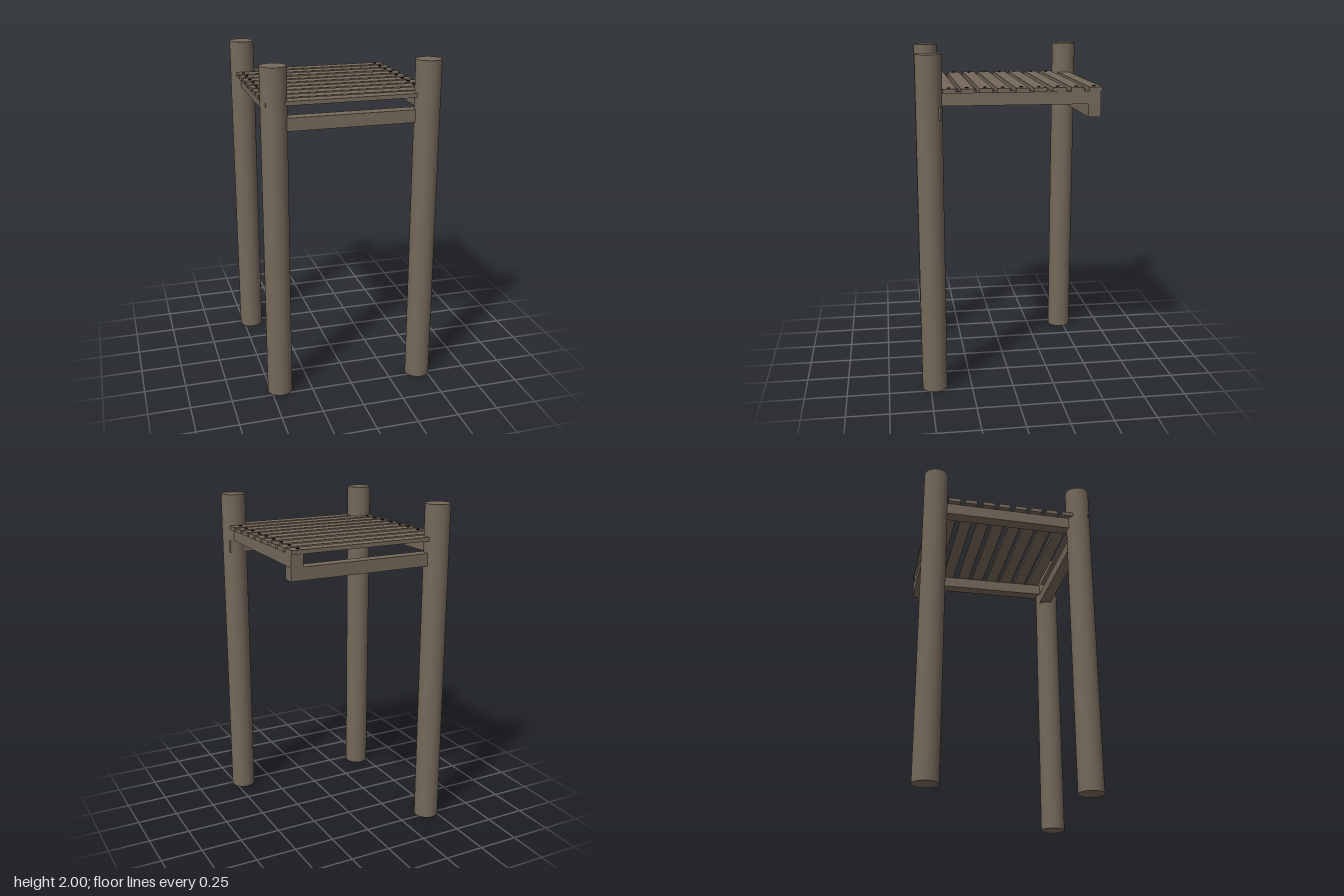
import * as THREE from 'three';

export function createModel() {
  const model = new THREE.Group();
  const wood = new THREE.MeshStandardMaterial({ color: 0x75685a });
  wood.name = 'weatheredWood';
  const iron = new THREE.MeshStandardMaterial({ color: 0x0a0a14 });
  iron.name = 'darkIron';

  // Box given by its low and high limits on each axis
  function board(name, [x0, x1], [y0, y1], [z0, z1], material = wood) {
    const mesh = new THREE.Mesh(new THREE.BoxGeometry(x1 - x0, y1 - y0, z1 - z0), material);
    mesh.position.set((x0 + x1) / 2, (y0 + y1) / 2, (z0 + z1) / 2);
    mesh.name = name;
    model.add(mesh);
    return mesh;
  }

  // Three round posts; the back left corner has none
  const postGeometry = new THREE.CylinderGeometry(0.075, 0.075, 2, 40);
  const posts = [['backRightPost', -0.447, -0.477], ['frontRightPost', -0.443, 0.445], ['frontLeftPost', 0.445, 0.473]];
  for (const [name, x, z] of posts) {
    const post = new THREE.Mesh(postGeometry, wood);
    post.position.set(x, 1, z);
    post.name = name;
    model.add(post);
  }

  // Cross beams under the side rails
  board('frontBeam', [-0.5, 0.5], [1.64, 1.715], [0.41, 0.484]);
  board('backBeam', [-0.5, 0.5], [1.64, 1.715], [-0.498, -0.425]);

  // Side rails, the left one set slightly askew
  board('rightRail', [-0.47, -0.397], [1.715, 1.787], [-0.498, 0.48]);
  const leftRail = board('leftRail', [0.413, 0.486], [1.715, 1.787], [-0.498, 0.48]);
  leftRail.rotation.y = -0.028;

  // Deck planks with a square nail near each end
  const plankZ = [-0.467, -0.363, -0.258, -0.149, -0.047, 0.058, 0.158, 0.26, 0.362, 0.46];
  for (const z of plankZ) {
    board('plank', [-0.5, 0.5], [1.787, 1.811], [z - 0.0375, z + 0.0375]);
    for (const x of [-0.461, 0.447]) {
      board('nail', [x - 0.008, x + 0.008], [1.807, 1.815], [z - 0.008, z + 0.008], iron);
    }
  }
  return model;
}
